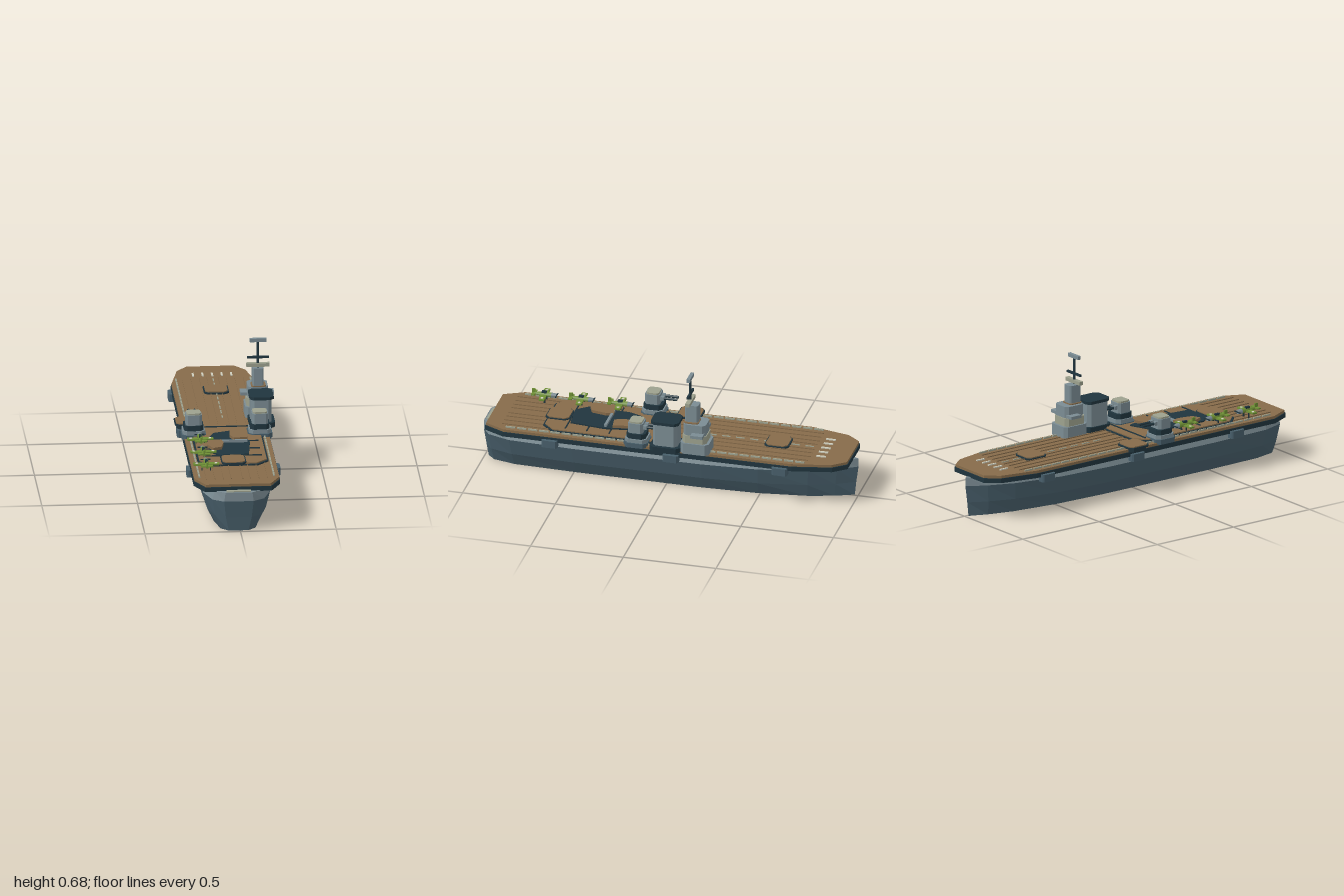
import * as THREE from 'three';

const paint = (name, color, side = THREE.FrontSide) => {
  const m = new THREE.MeshStandardMaterial({ color, side });
  m.name = name;
  return m;
};

export function createModel() {
  const wood = paint('deck wood', 0x866b4a);
  const dark = paint('dark trim', 0x20353e);
  const grey = paint('light grey', 0x7b8c93, THREE.DoubleSide);
  const slate = paint('hull slate', 0x485f6b, THREE.DoubleSide);
  const beige = paint('pale roof', 0x9da18e);
  const green = paint('aircraft green', 0x6e8f35);
  const cream = paint('marking cream', 0xcfcebd);
  const olive = paint('hangar olive', 0x686050);
  const CX = -0.008; // centreline of the ship
  const ship = new THREE.Group();
  ship.name = 'carrier';

  const add = (name, geo, mat, parent = ship) => {
    const m = new THREE.Mesh(geo, mat);
    m.name = name;
    parent.add(m);
    return m;
  };
  // box given by its extents
  const box = (name, x0, x1, y0, y1, z0, z1, mat, parent) => {
    const g = new THREE.BoxGeometry(x1 - x0, y1 - y0, z1 - z0);
    g.translate((x0 + x1) / 2, (y0 + y1) / 2, (z0 + z1) / 2);
    return add(name, g, mat, parent);
  };
  // flat slab from a plan outline of [x, z] points
  const slab = (name, pts, y0, y1, mat, parent) => {
    const shape = new THREE.Shape(pts.map(([x, z]) => new THREE.Vector2(x, -z)));
    const g = new THREE.ExtrudeGeometry(shape, { depth: y1 - y0, bevelEnabled: false });
    g.rotateX(-Math.PI / 2).translate(0, y0, 0);
    return add(name, g, mat, parent);
  };
  // rectangle with cut corners, centred at x, z
  const oct = (x, z, hx, hz, c) => [
    [x - hx + c, z - hz], [x + hx - c, z - hz], [x + hx, z - hz + c], [x + hx, z + hz - c],
    [x + hx - c, z + hz], [x - hx + c, z + hz], [x - hx, z + hz - c], [x - hx, z - hz + c]];
  const octSlab = (name, x, z, hx, hz, c, y0, y1, mat, parent) =>
    slab(name, oct(x, z, hx, hz, c), y0, y1, mat, parent);

  // hull shell: width factors along z, lofted over four levels, open below
  const stations = [[-1, 0], [-0.9, 0.32], [-0.76, 0.62], [-0.5, 0.9], [-0.2, 1],
    [0.5, 1], [0.84, 0.93], [0.96, 0.72], [1, 0.41]];
  const levels = [[0, 0.126, 0.98], [0.075, 0.165, 0.988], [0.166, 0.188, 1], [0.213, 0.172, 1]];
  const ring = ([y, half, zs]) => {
    const side = s => stations.map(([z, w]) => new THREE.Vector3(CX + s * w * half, y, z * zs));
    return [...side(1), ...side(-1).reverse()];
  };
  const shell = (name, lv, mat) => {
    const pos = [];
    for (let k = 0; k + 1 < lv.length; k++) {
      const lo = ring(lv[k]), hi = ring(lv[k + 1]);
      for (let i = 0; i + 1 < lo.length; i++) {
        for (const p of [lo[i], hi[i], hi[i + 1], lo[i], hi[i + 1], lo[i + 1]]) pos.push(p.x, p.y, p.z);
      }
    }
    const g = new THREE.BufferGeometry();
    g.setAttribute('position', new THREE.Float32BufferAttribute(pos, 3));
    g.computeVertexNormals();
    add(name, g, mat);
  };
  shell('lowerHull', levels.slice(0, 3), slate);
  shell('upperHull', levels.slice(2), grey);
  // hull top plate, with the hangar ceiling beneath it
  const topPlan = k => ring(levels[3]).map(p => [CX + (p.x - CX) * k, p.z * k]);
  slab('hullTop', topPlan(0.998), 0.209, 0.2135, grey);
  slab('hullCeiling', topPlan(0.97), 0.204, 0.209, olive);
  box('sternSill', CX - 0.064, CX + 0.064, 0.2135, 0.219, 0.966, 0.99, beige);

  // flight deck: dark slab under a slightly smaller wooden one
  const deckHalf = [[0.127, -0.975], [0.183, -0.905], [0.226, -0.7], [0.226, 0.86], [0.174, 0.967]];
  const deckPlan = (inset) => {
    const h = deckHalf.map(([x, z]) => [x - inset, z - Math.sign(z) * inset]);
    return [...h.map(([x, z]) => [CX + x, z]), ...h.reverse().map(([x, z]) => [CX - x, z])];
  };
  slab('deckEdge', deckPlan(0), 0.21, 0.235, dark);
  slab('flightDeck', deckPlan(0.004), 0.235, 0.249, wood);
  for (const x of [-0.16, -0.115, -0.07, -0.03, 0.03, 0.07, 0.115, 0.16]) {
    box('deckRidge', CX + x - 0.002, CX + x + 0.002, 0.249, 0.254, -0.77, 0.88, wood);
  }

  // deck markings and edge rails
  for (let i = -2; i <= 2; i++) {
    box('bowMarking', CX + i * 0.05 - 0.005, CX + i * 0.05 + 0.005, 0.249, 0.255, -0.85, -0.8, cream);
  }
  for (let i = 0; i < 9; i++) {
    const z = -0.76 + i * 0.075;
    box('centreDash', CX - 0.003, CX + 0.003, 0.249, 0.253, z, z + 0.045, beige);
  }
  for (const s of [-1, 1]) {
    for (let i = 0; i < 27; i++) {
      const z = -0.76 + i * 0.06, x = CX + s * 0.195;
      box('edgeRail', x - 0.004, x + 0.004, 0.249, 0.257, z, z + 0.05, beige);
    }
    // gun galleries below the deck edge
    for (const z of [-0.635, -0.048, 0.605]) {
      const x = CX + s * 0.223;
      octSlab('sideGallery', x, z, 0.022, 0.042, 0.008, 0.184, 0.224, slate);
    }
  }

  // wooden hatches with dark rims
  const hatch = (name, x, z, y) => {
    octSlab(name + 'Rim', x, z, 0.065, 0.065, 0.02, y, y + 0.009, dark);
    octSlab(name, x, z, 0.059, 0.059, 0.018, y + 0.009, y + 0.014, wood);
  };
  hatch('foreHatch', CX, -0.57, 0.249);
  hatch('aftHatch', CX, 0.61, 0.258);
  octSlab('elevatorSupport', -0.2, -0.045, 0.055, 0.055, 0.018, 0.235, 0.254, dark);
  hatch('sideElevator', -0.2, -0.045, 0.254);

  // raised midship platform
  octSlab('platformTrim', CX, 0.337, 0.185, 0.33, 0.06, 0.249, 0.256, dark);
  octSlab('platform', CX, 0.337, 0.176, 0.321, 0.057, 0.256, 0.262, wood);
  for (const z of [0.065, 0.305, 0.425, 0.54]) {
    box('platformRib', -0.16, 0.147, 0.262, 0.267, z - 0.003, z + 0.003, dark);
  }
  slab('deckOpening', [[-0.08, 0.18], [0.06, 0.13], [0.075, 0.2], [0.1, 0.34], [0.08, 0.53],
    [-0.07, 0.54], [-0.12, 0.48], [-0.11, 0.26]], 0.262, 0.269, dark);
  slab('loosePanelA', [[-0.12, 0.34], [-0.05, 0.33], [-0.04, 0.37], [-0.055, 0.45],
    [-0.1, 0.47], [-0.13, 0.41]], 0.269, 0.284, wood);
  slab('loosePanelB', [[0.005, 0.19], [0.07, 0.17], [0.075, 0.23], [0.09, 0.3],
    [0.02, 0.31], [0, 0.26]], 0.269, 0.284, wood);
  box('openingBeam', -0.088, 0.088, 0.27, 0.283, 0.333, 0.347, grey);

  // twin gun turrets, barrels toward the bow
  for (const s of [-1, 1]) {
    const t = new THREE.Group();
    t.name = s > 0 ? 'leftTurret' : 'rightTurret';
    t.position.set(CX + s * 0.173, 0, 0.145);
    ship.add(t);
    octSlab('sponson', 0, 0, 0.064, 0.064, 0.022, 0.24, 0.266, slate, t);
    octSlab('turretBase', 0, 0, 0.058, 0.058, 0.02, 0.266, 0.286, grey, t);
    octSlab('turretRing', 0, 0, 0.051, 0.051, 0.018, 0.286, 0.314, dark, t);
    octSlab('gunHouse', 0, 0.004, 0.042, 0.04, 0.012, 0.314, 0.369, grey, t);
    octSlab('turretRoof', 0, 0.004, 0.037, 0.034, 0.01, 0.369, 0.378, beige, t);
    for (const b of [-1, 1]) {
      const g = new THREE.CylinderGeometry(0.007, 0.008, 0.1, 8);
      g.rotateX(-Math.PI / 2).translate(b * 0.016, 0.345, -0.075);
      add('barrel', g, dark, t);
      box('barrelSleeve', b * 0.016 - 0.01, b * 0.016 + 0.01, 0.335, 0.355, -0.055, -0.03, grey, t);
    }
  }

  // funnel block
  octSlab('funnelBase', 0.188, -0.02, 0.067, 0.082, 0.02, 0.249, 0.275, dark);
  octSlab('funnel', 0.183, -0.018, 0.054, 0.067, 0.018, 0.275, 0.4, grey);
  octSlab('funnelCap', 0.185, -0.018, 0.063, 0.075, 0.02, 0.4, 0.416, dark);

  // bridge tower, stacked from the deck up
  octSlab('towerBase', 0.176, -0.178, 0.066, 0.076, 0.018, 0.249, 0.31, grey);
  octSlab('towerLower', 0.176, -0.176, 0.058, 0.064, 0.016, 0.31, 0.354, beige);
  octSlab('towerMiddle', 0.178, -0.176, 0.053, 0.06, 0.016, 0.354, 0.415, grey);
  box('bridgeWings', 0.09, 0.266, 0.355, 0.371, -0.23, -0.165, grey);
  octSlab('bridgeRoof', 0.181, -0.155, 0.038, 0.039, 0.01, 0.415, 0.421, wood);
  octSlab('towerUpper', 0.179, -0.155, 0.029, 0.036, 0.008, 0.421, 0.516, grey);
  const mast = new THREE.CylinderGeometry(0.006, 0.007, 0.145, 8);
  add('mast', mast.translate(0.179, 0.586, -0.143), dark);
  box('lowerYard', 0.118, 0.24, 0.521, 0.54, -0.155, -0.131, beige);
  box('middleYard', 0.123, 0.236, 0.566, 0.577, -0.149, -0.137, dark);
  box('topAntenna', 0.136, 0.223, 0.656, 0.675, -0.152, -0.134, grey);

  // parked propeller aircraft, noses toward the bow
  for (const z of [0.325, 0.535, 0.735]) {
    const a = new THREE.Group();
    a.name = 'aircraft';
    a.position.set(-0.158, 0.289, z);
    ship.add(a);
    const body = new THREE.CylinderGeometry(0.008, 0.015, 0.105, 6);
    add('fuselage', body.rotateX(-Math.PI / 2).rotateY(Math.PI).translate(0, 0, 0.012), green, a);
    const nose = new THREE.CylinderGeometry(0.015, 0.012, 0.025, 6);
    add('nose', nose.rotateX(Math.PI / 2).translate(0, 0, -0.053), grey, a);
    box('propeller', -0.026, 0.026, -0.003, 0.003, -0.069, -0.065, dark, a);
    slab('wings', [[-0.068, -0.017], [0.068, -0.017], [0.068, 0.012], [0.02, 0.019],
      [-0.02, 0.019], [-0.068, 0.012]], -0.007, 0.001, green, a);
    box('tailplane', -0.031, 0.031, -0.001, 0.006, 0.044, 0.064, green, a);
    box('fin', -0.004, 0.004, 0, 0.026, 0.047, 0.065, green, a);
    box('canopy', -0.007, 0.007, 0.008, 0.019, -0.014, 0.012, dark, a);
    for (const s of [-1, 1]) {
      const dot = new THREE.CylinderGeometry(0.008, 0.008, 0.002, 8);
      add('wingDisc', dot.translate(s * 0.05, 0.002, -0.002), cream, a);
      const floor = z > 0.7 ? -0.04 : -0.027;
      box('wheelLeg', s * 0.022 - 0.003, s * 0.022 + 0.003, floor, -0.006, -0.012, -0.004, dark, a);
    }
  }
  return ship;
}
